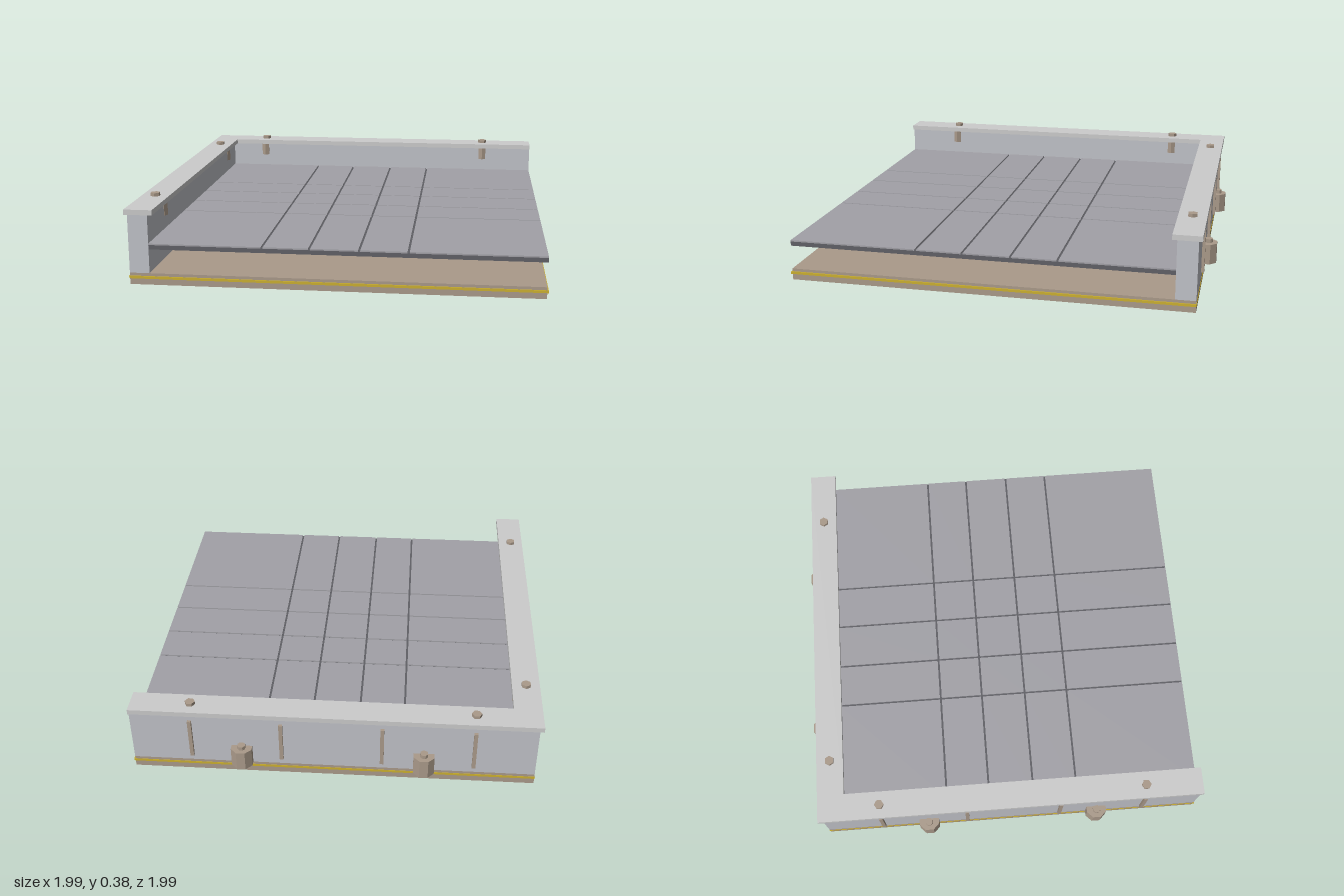
import * as THREE from 'three';

export function createModel() {
  const root = new THREE.Group();
  const mat = (color) => new THREE.MeshStandardMaterial({ color, flatShading: true });
  const grey = mat(0xcccccc), wallMat = mat(0xc0c2c8), floorMat = mat(0xa2a1a7);
  const brown = mat(0xaa9a8a), yellow = mat(0xccb030), grooveMat = mat(0x606066);

  // box given by its minimum and maximum corners
  const box = (name, m, x0, x1, y0, y1, z0, z1, parent = root) => {
    const mesh = new THREE.Mesh(new THREE.BoxGeometry(x1 - x0, y1 - y0, z1 - z0), m);
    mesh.position.set((x0 + x1) / 2, (y0 + y1) / 2, (z0 + z1) / 2);
    mesh.name = name;
    parent.add(mesh);
  };
  // upright prism; turn rotates it about its axis
  const prism = (name, m, r, sides, x, y0, y1, z, turn, parent) => {
    const mesh = new THREE.Mesh(new THREE.CylinderGeometry(r, r, y1 - y0, sides), m);
    mesh.position.set(x, (y0 + y1) / 2, z);
    mesh.rotation.y = turn;
    mesh.name = name;
    parent.add(mesh);
  };

  // layered base
  box('baseBottom', brown, -0.94, 0.99, 0, 0.03, -0.94, 0.99);
  box('baseStripe', yellow, -0.942, 0.996, 0.03, 0.042, -0.942, 0.996);
  box('baseTop', brown, -0.94, 0.99, 0.042, 0.056, -0.94, 0.99);

  // raised floor: slab topped by tiles with grooves between
  box('floorSlab', grooveMat, -0.845, 0.99, 0.172, 0.193, -0.845, 0.99);
  const floor = new THREE.Group();
  floor.name = 'floorTiles';
  const cuts = [-0.85, -0.31, -0.09, 0.14, 0.365, 0.995];
  const gap = 0.005;
  for (let i = 0; i < 5; i++) {
    for (let j = 0; j < 5; j++) {
      box('floorTile', floorMat, cuts[i] + gap, cuts[i + 1] - gap, 0.193, 0.2,
        cuts[j] + gap, cuts[j + 1] - gap, floor);
    }
  }
  root.add(floor);

  // one wall along the -x side with its cap and fittings; start avoids overlap at the corner
  const makeSide = (name, wallStart, capStart) => {
    const side = new THREE.Group();
    side.name = name;
    box('wall', wallMat, -0.94, -0.845, 0.056, 0.335, wallStart, 0.99, side);
    box('wallCap', grey, -0.957, -0.822, 0.335, 0.36, capStart, 0.99, side);
    for (const z of [-0.647, 0.703]) {
      prism('capBolt', brown, 0.024, 6, -0.89, 0.35, 0.376, z, 0, side);
      prism('innerPin', brown, 0.024, 6, -0.855, 0.265, 0.335, z, Math.PI / 2, side);
    }
    for (const z of [-0.647, -0.21, 0.27, 0.703]) {
      box('outerRib', brown, -0.954, -0.935, 0.09, 0.3, z - 0.009, z + 0.009, side);
    }
    for (const z of [-0.41, 0.46]) {
      prism('clip', brown, 0.054, 8, -0.948, 0.058, 0.157, z, Math.PI / 8, side);
      prism('clipStud', brown, 0.02, 8, -0.958, 0.15, 0.176, z, Math.PI / 8, side);
    }
    return side;
  };
  root.add(makeSide('sideWall', -0.94, -0.957));

  // back wall: the same side turned a quarter and mirrored, so x and z swap
  const back = makeSide('backWall', -0.845, -0.822);
  back.rotation.y = Math.PI / 2;
  back.scale.x = -1;
  root.add(back);
  return root;
}
